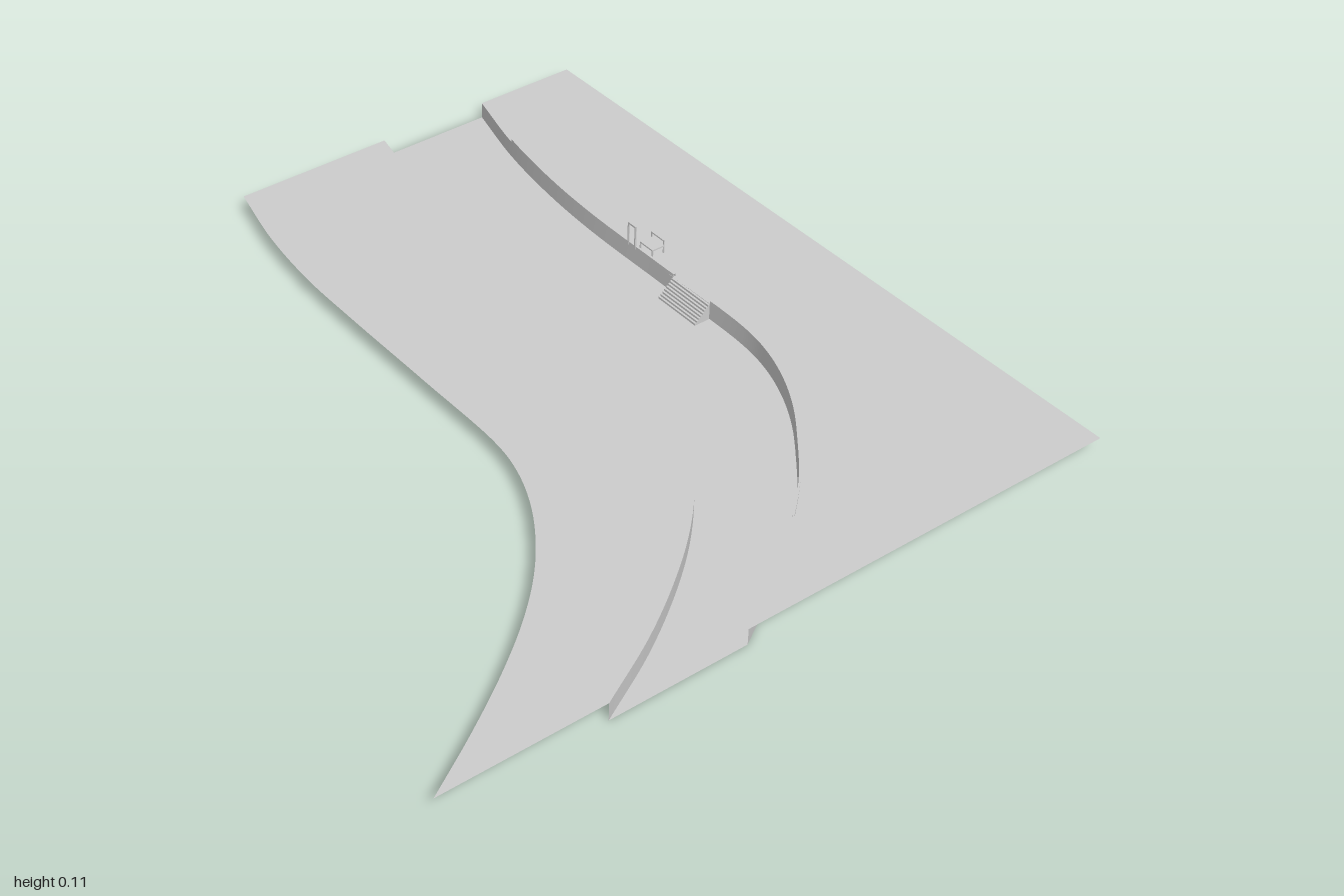
import * as THREE from 'three';

const BACK = 0.045, FRONT = 0.05; // ground heights either side of the channel
const XS = [-1, -0.8, -0.6, -0.4, -0.1, 0.2, 0.3, 0.4, 0.5, 0.6, 0.7, 0.8, 0.9, 1];
const curve = (zs) => new THREE.CatmullRomCurve3(
  XS.map((x, i) => new THREE.Vector3(x, 0, zs[i])), false, 'centripetal').getPoints(104);

const backWall = curve([-0.65, -0.6, -0.57, -0.556, -0.555, -0.553, -0.536, -0.5, -0.445, -0.37, -0.285, -0.175, -0.04, 0.12]);
const frontWall = curve([-0.33, -0.29, -0.265, -0.258, -0.26, -0.258, -0.243, -0.205, -0.145, -0.065, 0.035, 0.16, 0.31, 0.495]);
const frontEdge = curve([0.11, 0.155, 0.178, 0.182, 0.182, 0.185, 0.205, 0.245, 0.305, 0.385, 0.49, 0.62, 0.77, 0.935]);
const backEdge = backWall.map((p) => new THREE.Vector3(p.x, 0, -0.94));

const at = (pts, y, dz = 0) => pts.map((p) => new THREE.Vector3(p.x, y, p.z + dz));

// Ruled sheet between two lines with the same number of points
function sheet(a, b) {
  const pos = [], index = [];
  a.forEach((p, i) => {
    pos.push(...p.toArray(), ...b[i].toArray());
    if (i) {
      const k = 2 * i;
      index.push(k - 2, k - 1, k, k, k - 1, k + 1);
    }
  });
  const g = new THREE.BufferGeometry();
  g.setAttribute('position', new THREE.Float32BufferAttribute(pos, 3));
  g.setIndex(index);
  g.computeVertexNormals();
  return g;
}

export function createModel() {
  const model = new THREE.Group();
  model.name = 'riverbank';
  const stone = new THREE.MeshStandardMaterial({ color: 0xcccccc, side: THREE.DoubleSide });
  stone.name = 'light grey';

  const add = (name, geometry, parent = model) => {
    const mesh = new THREE.Mesh(geometry, stone);
    mesh.name = name;
    parent.add(mesh);
    return mesh;
  };
  const box = (name, parent, x0, x1, y0, y1, z0, z1) =>
    add(name, new THREE.BoxGeometry(x1 - x0, y1 - y0, z1 - z0), parent)
      .position.set((x0 + x1) / 2, (y0 + y1) / 2, (z0 + z1) / 2);
  const group = (name) => {
    const g = new THREE.Group();
    g.name = name;
    model.add(g);
    return g;
  };

  // Ground, channel walls and river bed
  add('backGround', sheet(at(backEdge, BACK), at(backWall, BACK)));
  add('backWall', sheet(at(backWall, BACK), at(backWall, 0)));
  add('riverBed', sheet(at(backWall, 0), at(frontWall, 0)));
  add('frontWall', sheet(at(frontWall, 0), at(frontWall, FRONT)));
  add('frontBank', sheet(at(frontWall, FRONT), at(frontEdge, FRONT)));

  // Low kerb on the back wall, open at the stairs
  const kerb = group('kerb');
  const w = 0.006, top = 0.054;
  for (const [x0, x1] of [[-0.8, -0.07], [0.07, 0.79]]) {
    const line = backWall.filter((p) => p.x >= x0 && p.x <= x1);
    const edge = backWall.find((p) => p.x > 0).z;
    if (x1 < 0) line.push(new THREE.Vector3(x1, 0, edge));
    else line.unshift(new THREE.Vector3(x0, 0, edge));
    add('kerbTop', sheet(at(line, top, -w), at(line, top)), kerb);
    add('kerbFront', sheet(at(line, top), at(line, BACK)), kerb);
    add('kerbBack', sheet(at(line, BACK, -w), at(line, top, -w)), kerb);
  }

  // Stairs down to the bed
  const stairs = group('stairs');
  const n = 8, z0 = -0.555, depth = 0.045;
  for (let i = 0; i < n; i++) {
    box('step', stairs, -0.07, 0.07, 0, BACK * (1 - i / n), z0 + depth * i / n, z0 + depth * (i + 1) / n);
  }

  // Upright frame beside the wall
  const frame = group('uprightFrame');
  for (const x of [-0.25, -0.223]) box('framePost', frame, x, x + 0.004, BACK, 0.113, -0.557, -0.553);
  box('frameTop', frame, -0.25, -0.219, 0.108, 0.113, -0.557, -0.553);

  // Bench
  const bench = group('bench');
  box('benchSeat', bench, -0.215, -0.165, 0.064, 0.068, -0.604, -0.565);
  for (const x of [-0.215, -0.168]) {
    box('frontLeg', bench, x, x + 0.003, BACK, 0.064, -0.568, -0.565);
    box('backLeg', bench, x, x + 0.003, BACK, 0.083, -0.604, -0.601);
  }
  box('backRail', bench, -0.215, -0.165, 0.079, 0.083, -0.604, -0.601);

  return model;
}
